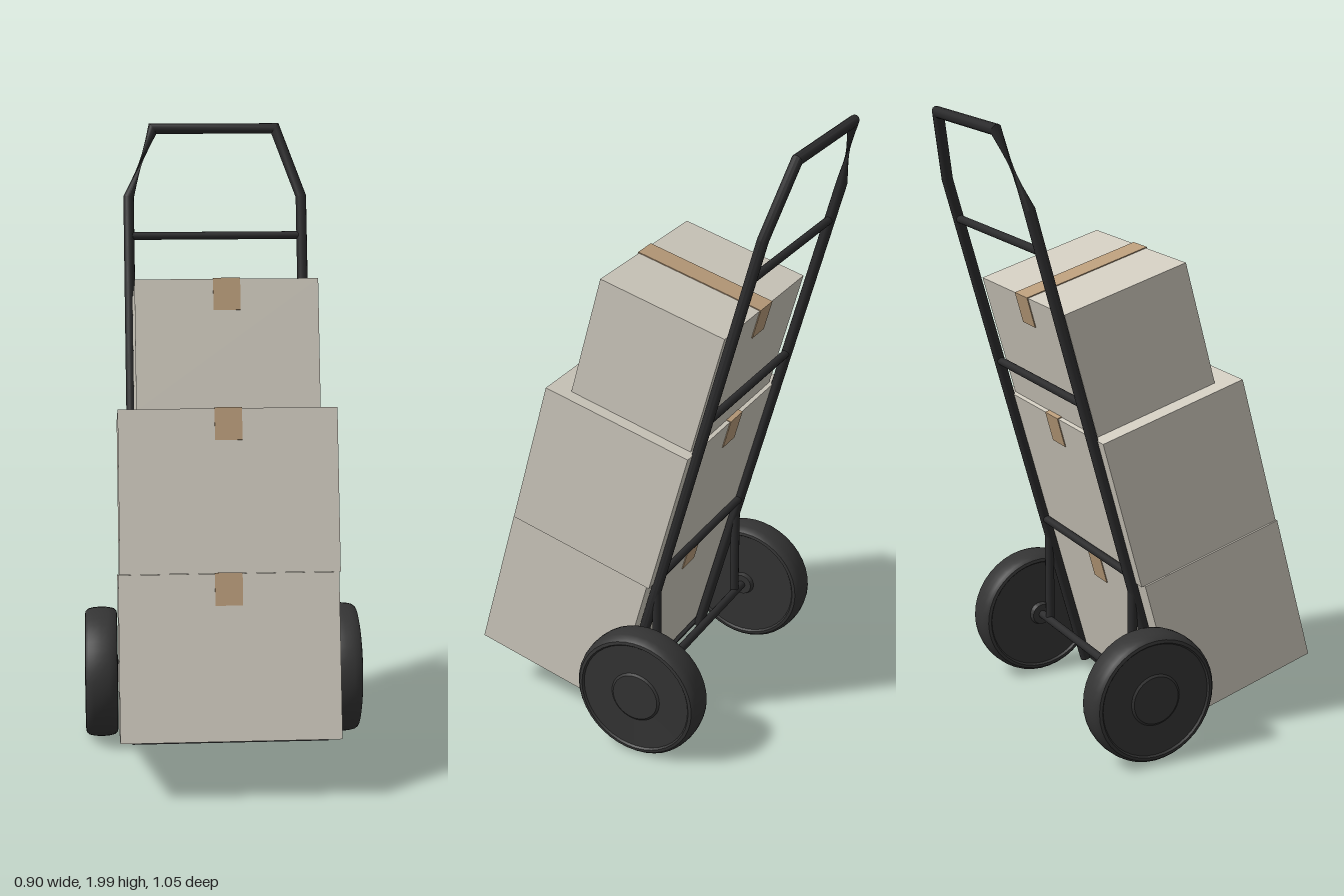
import * as THREE from 'three';
import { toCreasedNormals } from 'three/addons/utils/BufferGeometryUtils.js';

const mat = (name, color, extra = {}) => {
  const m = new THREE.MeshStandardMaterial({ color, ...extra });
  m.name = name;
  return m;
};

// Mitred tube along a flat path in the xy plane; a point's third value twists its ring
function mitredTube(path, radius, sides = 12) {
  const pts = path.map(([x, y]) => new THREE.Vector2(x, y));
  const perp = (a, b) => {
    const t = b.clone().sub(a).normalize();
    return new THREE.Vector2(-t.y, t.x);
  };
  const pos = [], index = [];
  let twist = 0;
  pts.forEach((p, i) => {
    const before = perp(pts[Math.max(i - 1, 0)], pts[Math.max(i, 1)]);
    const after = perp(pts[Math.min(i, pts.length - 2)], pts[Math.min(i + 1, pts.length - 1)]);
    const m = before.clone().add(after).normalize();
    m.multiplyScalar(1 / m.dot(before));
    twist += path[i][2] || 0;
    for (let j = 0; j < sides; j++) {
      const a = (j / sides) * Math.PI * 2 + twist;
      pos.push(p.x + m.x * Math.cos(a) * radius, p.y + m.y * Math.cos(a) * radius, Math.sin(a) * radius);
    }
  });
  const last = (pts.length - 1) * sides;
  for (let j = 0; j < sides; j++) {
    const k = (j + 1) % sides;
    for (let i = 0; i < pts.length - 1; i++) {
      const a = i * sides, b = a + sides;
      index.push(a + j, a + k, b + k, a + j, b + k, b + j);
    }
    // End caps
    if (j > 0 && k > 0) index.push(0, k, j, last, last + j, last + k);
  }
  const geo = new THREE.BufferGeometry();
  geo.setAttribute('position', new THREE.Float32BufferAttribute(pos, 3));
  geo.setIndex(index);
  return toCreasedNormals(geo, 0.6);
}

export function createModel() {
  const model = new THREE.Group();
  model.name = 'loadedHandTruck';

  const card = mat('cardboard', 0xcfcabe);
  const tape = mat('packingTape', 0xb99c7a);
  const steel = mat('darkSteel', 0x2b2b2c, { side: THREE.DoubleSide });
  const rubber = mat('rubber', 0x343434);

  const add = (parent, name, geo, material, x = 0, y = 0, z = 0) => {
    const mesh = new THREE.Mesh(geo, material);
    mesh.name = name;
    mesh.position.set(x, y, z);
    parent.add(mesh);
    return mesh;
  };
  const block = (parent, name, material, [x0, x1], [y0, y1], [z0, z1]) =>
    add(parent, name, new THREE.BoxGeometry(x1 - x0, y1 - y0, z1 - z0), material,
      (x0 + x1) / 2, (y0 + y1) / 2, (z0 + z1) / 2);
  const bar = (parent, name, length, radius, y, z) => {
    const mesh = add(parent, name, new THREE.CylinderGeometry(radius, radius, length, 12), steel, 0, y, z);
    mesh.rotation.z = Math.PI / 2;
  };

  // Everything leaning back on the truck
  const tilted = new THREE.Group();
  tilted.name = 'tiltedLoad';
  tilted.position.set(0, 0.05, 0.05);
  tilted.rotation.x = -THREE.MathUtils.degToRad(15.5);
  model.add(tilted);

  // Handle and side rails in one bent tube, with one twisted upper corner
  const frame = [[0.288, 0], [0.288, 1.775], [0.205, 2.005], [-0.205, 2.005], [-0.288, 1.775, 2.5], [-0.288, 0]];
  add(tilted, 'railAndHandle', mitredTube(frame, 0.0175), steel, 0, 0, -0.02);

  // Cross bars between the rails
  for (const y of [1.644, 1.15, 0.56]) bar(tilted, 'crossBar', 0.576, 0.013, y, -0.02);

  // Toe plate under the load
  block(tilted, 'toePlate', steel, [-0.305, 0.305], [-0.002, 0.008], [-0.01, 0.335]);

  // Stacked boxes, each with tape over the top and a short way down front and back
  const boxes = [
    { name: 'lowerBox', x: [-0.343, 0.329], y: [0.016, 0.522], z: [0, 0.5], t: [-0.05, 0.034] },
    { name: 'middleBox', x: [-0.338, 0.334], y: [0.523, 1.025], z: [-0.01, 0.497], t: [-0.043, 0.041] },
    { name: 'upperBox', x: [-0.28, 0.29], y: [1.026, 1.432], z: [0.003, 0.43], t: [-0.037, 0.047] },
  ];
  const e = 0.003;
  for (const { name, x, y, z, t } of boxes) {
    const box = new THREE.Group();
    box.name = name;
    tilted.add(box);
    block(box, 'carton', card, x, y, z);
    block(box, 'topTape', tape, t, [y[1], y[1] + e], [z[0] - e, z[1] + e]);
    block(box, 'frontTape', tape, t, [y[1] - 0.097, y[1]], [z[1], z[1] + e]);
    block(box, 'backTape', tape, t, [y[1] - 0.097, y[1]], [z[0] - e, z[0]]);
  }

  // Axle and upright struts
  const axleY = 0.216, axleZ = -0.108;
  bar(model, 'axle', 0.72, 0.014, axleY, axleZ);

  // Wheel profile from inner hub to outer hub: radius, offset along the axle
  const profile = [
    [0, -0.06], [0.035, -0.06], [0.04, -0.046], [0.185, -0.046], [0.19, -0.053], [0.2, -0.051],
    [0.208, -0.042], [0.212, -0.025], [0.214, 0], [0.212, 0.025], [0.208, 0.042], [0.2, 0.051],
    [0.19, 0.053], [0.185, 0.047], [0.085, 0.045], [0.078, 0.05], [0, 0.05],
  ].map(([r, h]) => new THREE.Vector2(r, h));
  const wheelGeo = toCreasedNormals(new THREE.LatheGeometry(profile, 40), 0.6);

  for (const side of [1, -1]) {
    const label = side > 0 ? 'left' : 'right';
    add(model, label + 'Strut', new THREE.CylinderGeometry(0.015, 0.015, 0.31, 12), steel,
      side * 0.288, axleY + 0.15, axleZ + 0.004);
    const wheel = add(model, label + 'Wheel', wheelGeo, rubber, side * 0.398, axleY, axleZ);
    wheel.rotation.z = -side * Math.PI / 2;
  }
  return model;
}
